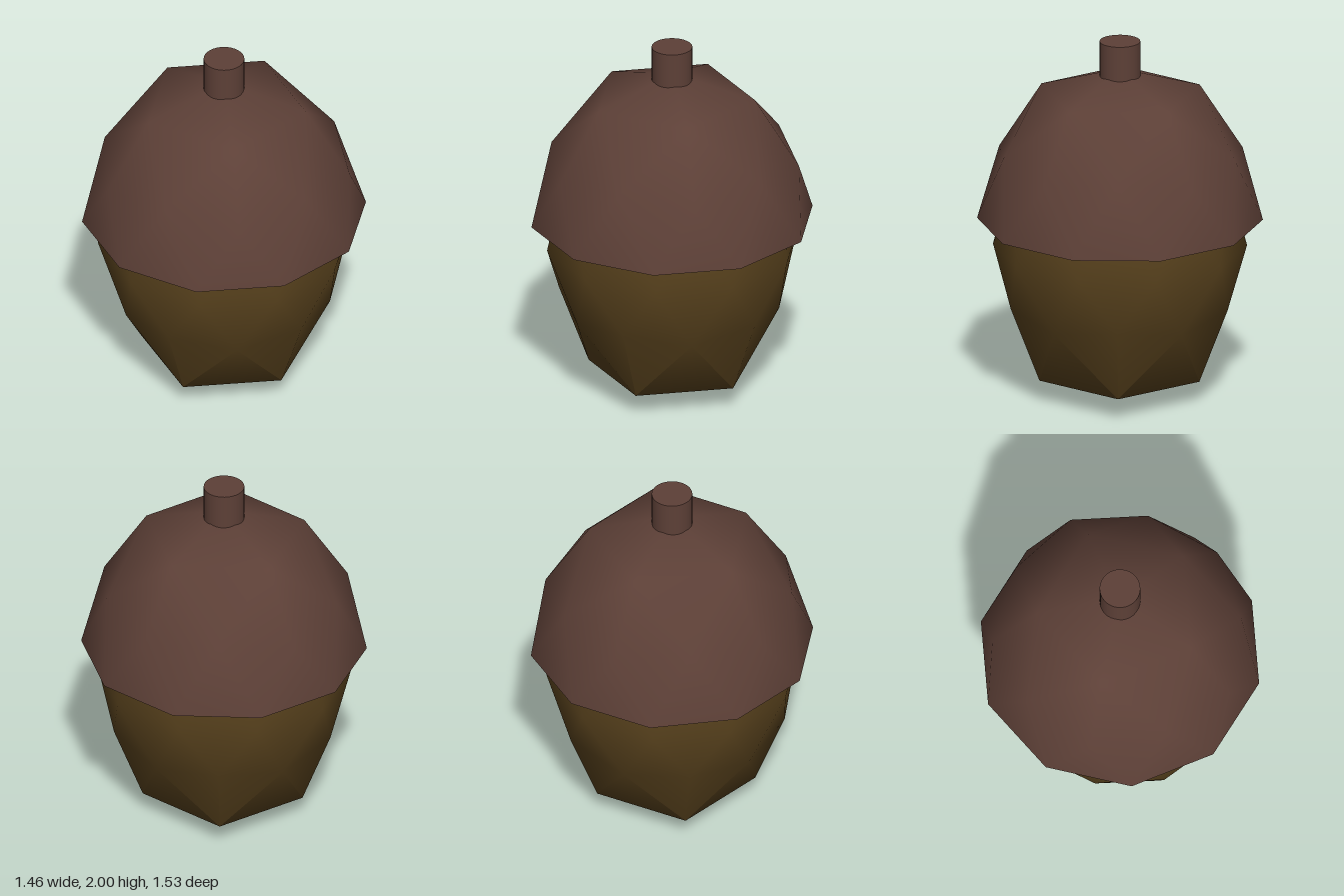
import * as THREE from 'three';
import { toCreasedNormals, mergeGeometries } from 'three/addons/utils/BufferGeometryUtils.js';

// Half of a subdivided icosahedron. Each ring is [radius, y]:
// pole, five-sided ring, shoulder corners, shoulder midpoints, ten-sided rim.
function dome({ poleY, ring, corner, mid, rim }, down = false) {
  const points = [];
  const at = ([r, y], degrees) => {
    const a = THREE.MathUtils.degToRad(degrees + (down ? 180 : 0));
    return new THREE.Vector3(r * Math.cos(a), y, -r * Math.sin(a));
  };
  const face = (a, b, c) => points.push(...(down ? [a, c, b] : [a, b, c]));
  const pole = new THREE.Vector3(0, poleY, 0);
  for (let k = 0; k < 5; k++) {
    const a = 72 * k, next = 72 * ((k + 1) % 5);
    const r0 = at(ring, a), r1 = at(ring, next);
    const c0 = at(corner, a), c1 = at(corner, next), m = at(mid, a + 36);
    const e0 = at(rim, a - 18), e1 = at(rim, a + 18), e2 = at(rim, a + 54);
    face(pole, r0, r1);
    face(r0, c0, m);
    face(r0, m, r1);
    face(r1, m, c1);
    face(c0, e0, e1);
    face(c0, e1, m);
    face(m, e1, e2);
    face(m, e2, c1);
  }
  return new THREE.BufferGeometry().setFromPoints(points);
}

export function createModel() {
  const group = new THREE.Group();
  const capBrown = new THREE.MeshStandardMaterial({ color: 0x5d4037 });
  capBrown.name = 'capBrown';
  const nutBrown = new THREE.MeshStandardMaterial({ color: 0x56401c });
  nutBrown.name = 'nutBrown';

  const add = (name, geometry, material) => {
    const mesh = new THREE.Mesh(geometry, material);
    mesh.name = name;
    group.add(mesh);
    return mesh;
  };

  // Nut: tapered lower half, rounder upper half tucked into the cap
  const nutRim = [0.68, 0.856];
  const lower = dome({
    poleY: 0.005, ring: [0.45, 0.13], corner: [0.61, 0.548], mid: [0.578, 0.495], rim: nutRim,
  }, true);
  const upper = dome({
    poleY: 1.546, ring: [0.358, 1.443], corner: [0.61, 1.164], mid: [0.578, 1.217], rim: nutRim,
  });
  add('nut', toCreasedNormals(mergeGeometries([lower, upper]), Math.PI / 4), nutBrown);

  // Cap: overhanging dome
  const cap = dome({
    poleY: 1.845, ring: [0.445, 1.714], corner: [0.685, 1.338], mid: [0.65, 1.4], rim: [0.765, 1],
  });
  add('cap', toCreasedNormals(cap, Math.PI / 3), capBrown);

  // Flat underside closing the cap
  const underside = new THREE.CircleGeometry(0.765, 10, Math.PI / 10).rotateX(Math.PI / 2);
  add('capUnderside', underside, nutBrown).position.y = 1;

  // Stem
  add('stem', new THREE.CylinderGeometry(0.109, 0.109, 0.25, 32), capBrown).position.y = 1.875;

  return group;
}
